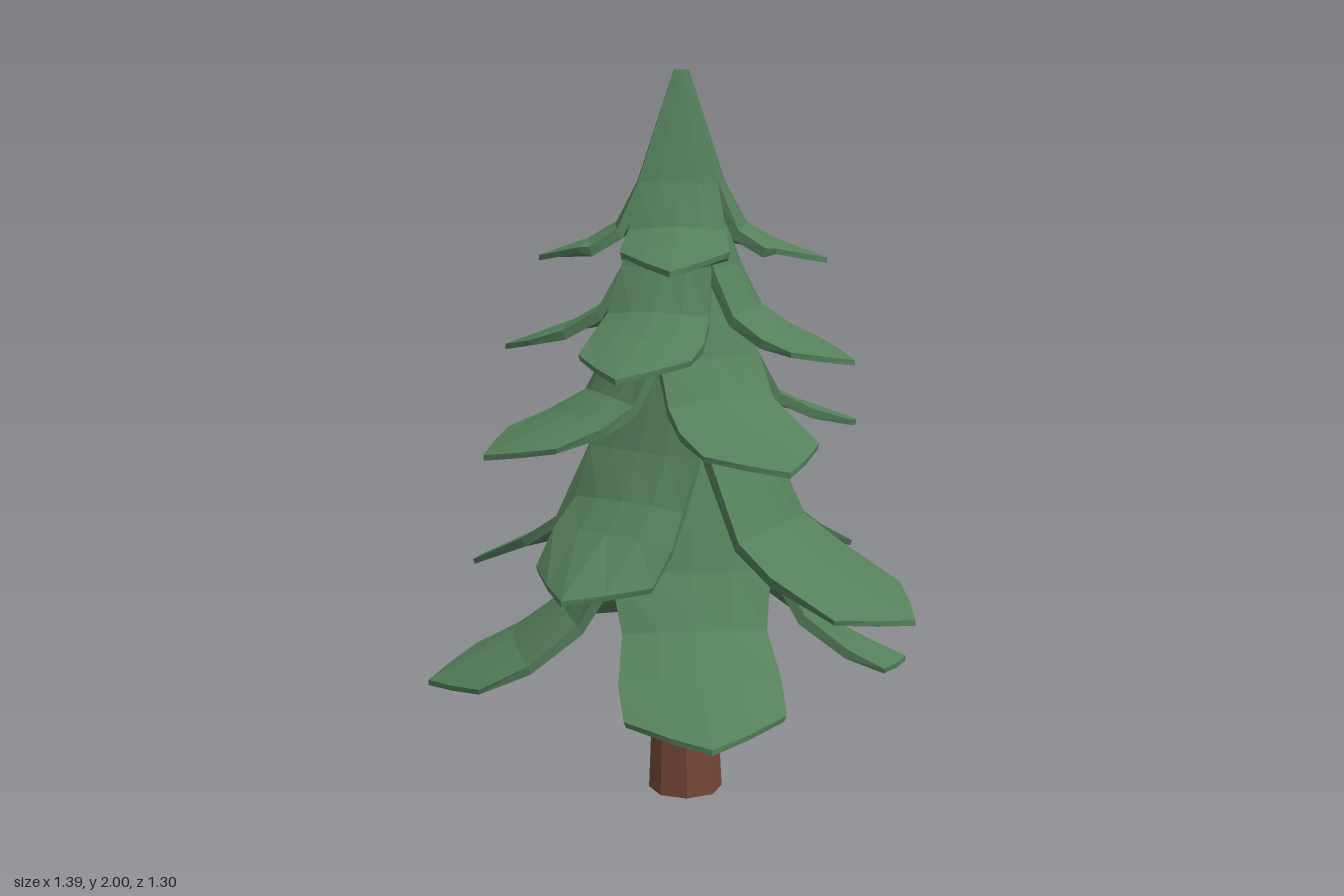
import * as THREE from 'three';

const GREEN = new THREE.MeshStandardMaterial({ color: 0x55805b, flatShading: true });
const BROWN = new THREE.MeshStandardMaterial({ color: 0x774836, flatShading: true });

// Tiers from bottom to top. profile: [radius, height] along a bough's spine; half: half width;
// boughs: [heading in degrees, length factor, lift of the outer part, width factor]
const TIERS = [
  { half: 0.22, profile: [[0.04, 1.25], [0.24, 0.69], [0.33, 0.555], [0.46, 0.455], [0.69, 0.345]],
    boughs: [[41, 0.96, 0, 0.95], [131, 1.02, 0, 1], [214, 1, 0, 1], [305, 0.95, 0, 1]] },
  { half: 0.22, profile: [[0.04, 1.42], [0.2, 1.0], [0.31, 0.8], [0.42, 0.725], [0.72, 0.585]],
    boughs: [[83, 0.74, 0.08, 0.88], [175, 1, 0, 1], [259, 1.03, 0, 1], [346, 0.965, 0, 1]] },
  { half: 0.175, profile: [[0.03, 1.64], [0.17, 1.25], [0.24, 1.15], [0.34, 1.1], [0.575, 1.01]],
    boughs: [[18, 0.96, 0, 1], [112, 1, 0, 1], [202, 1.04, 0, 1], [288, 1, 0, 1]] },
  { half: 0.155, profile: [[0.03, 1.82], [0.14, 1.49], [0.21, 1.38], [0.3, 1.325], [0.5, 1.245]],
    boughs: [[67, 0.99, 0, 1], [156, 1.04, 0, 1], [246, 1.02, 0, 1], [335, 0.96, 0, 1]] },
  { half: 0.14, profile: [[0.02, 2.0], [0.115, 1.71], [0.175, 1.6], [0.25, 1.555], [0.39, 1.505]],
    boughs: [[52, 0.98, 0, 1], [144, 1, 0, 1], [234, 1.07, 0, 1], [321, 1, 0, 1]] },
];
const COLS = [-1, -0.5, 0, 0.5, 1];

// One bough pointing along +x: closed cross-section loops from the stem to the pointed tip
function boughGeometry({ profile, half }, reach, lift, width) {
  const pos = [], index = [];
  const n = COLS.length, loop = n * 2, last = profile.length - 1;
  const split = profile[1][0], tip = profile[last][0];
  const stretch = (reach * tip - split) / (tip - split);
  profile.forEach(([r0, y0], i) => {
    const outer = Math.max(0, i - 1) / (last - 1);
    const r = i > 1 ? split + (r0 - split) * stretch : r0;
    const y = i > 1 ? y0 + lift : y0;
    const w = i < 2 ? r0 * 0.9 : half * width * [0.92, 1.02, 1][i - 2];
    const point = (u, under) => {
      // The pointed end follows the slope, so its side corners sit higher than the tip
      const a = Math.abs(u) ** 1.15;
      const cut = i === last ? 0.135 * a : (0.1 * r * (1 - outer) + 0.02 * outer) * u * u;
      const rise = i === last ? 0.036 * a : 0;
      const sag = 0.015 * u * u * Math.sin(Math.PI * outer);
      const inset = under ? 0.02 * (1 - outer) : 0;
      const drop = under ? [0, 0.02, 0.025, 0.025, 0.015][i] : 0;
      pos.push(r - cut - inset, y + rise - sag - drop, u * w * (under ? 0.97 : 1));
    };
    COLS.forEach(u => point(u, false));
    [...COLS].reverse().forEach(u => point(u, true));
  });
  for (let i = 0; i < last; i++) {
    for (let k = 0; k < loop; k++) {
      const a = i * loop + k, b = i * loop + (k + 1) % loop;
      index.push(a, b, a + loop, b, b + loop, a + loop);
    }
  }
  // Tip rim
  for (let k = 0; k < n - 1; k++) {
    const o = last * loop;
    const a = o + k, b = a + 1, c = o + loop - 2 - k, d = c + 1;
    index.push(a, b, c, a, c, d);
  }
  const g = new THREE.BufferGeometry();
  g.setAttribute('position', new THREE.Float32BufferAttribute(pos, 3));
  g.setIndex(index);
  const flat = g.toNonIndexed();
  flat.computeVertexNormals();
  return flat;
}

export function createModel() {
  const tree = new THREE.Group();
  tree.name = 'pineTree';

  // Tapered trunk, leaning slightly forward
  const trunkGeo = new THREE.CylinderGeometry(0.014, 0.103, 1.995, 8).translate(0, 0.9975, 0);
  const p = trunkGeo.attributes.position;
  for (let i = 0; i < p.count; i++) {
    const t = p.getY(i) / 2;
    p.setX(i, p.getX(i) + 0.008 + 0.007 * t);
    p.setZ(i, p.getZ(i) + 0.06 + 0.02 * t);
  }
  trunkGeo.computeVertexNormals();
  const trunk = new THREE.Mesh(trunkGeo, BROWN);
  trunk.name = 'trunk';
  tree.add(trunk);

  // Five tiers of four drooping boughs
  TIERS.forEach((tier, t) => {
    const group = new THREE.Group();
    group.name = `boughTier${t + 1}`;
    group.position.set(0.015, 0, 0.08);
    tier.boughs.forEach(([heading, reach, lift, width], k) => {
      const bough = new THREE.Mesh(boughGeometry(tier, reach, lift, width), GREEN);
      bough.name = `bough${k + 1}`;
      bough.rotation.y = -THREE.MathUtils.degToRad(heading);
      group.add(bough);
    });
    tree.add(group);
  });
  return tree;
}
